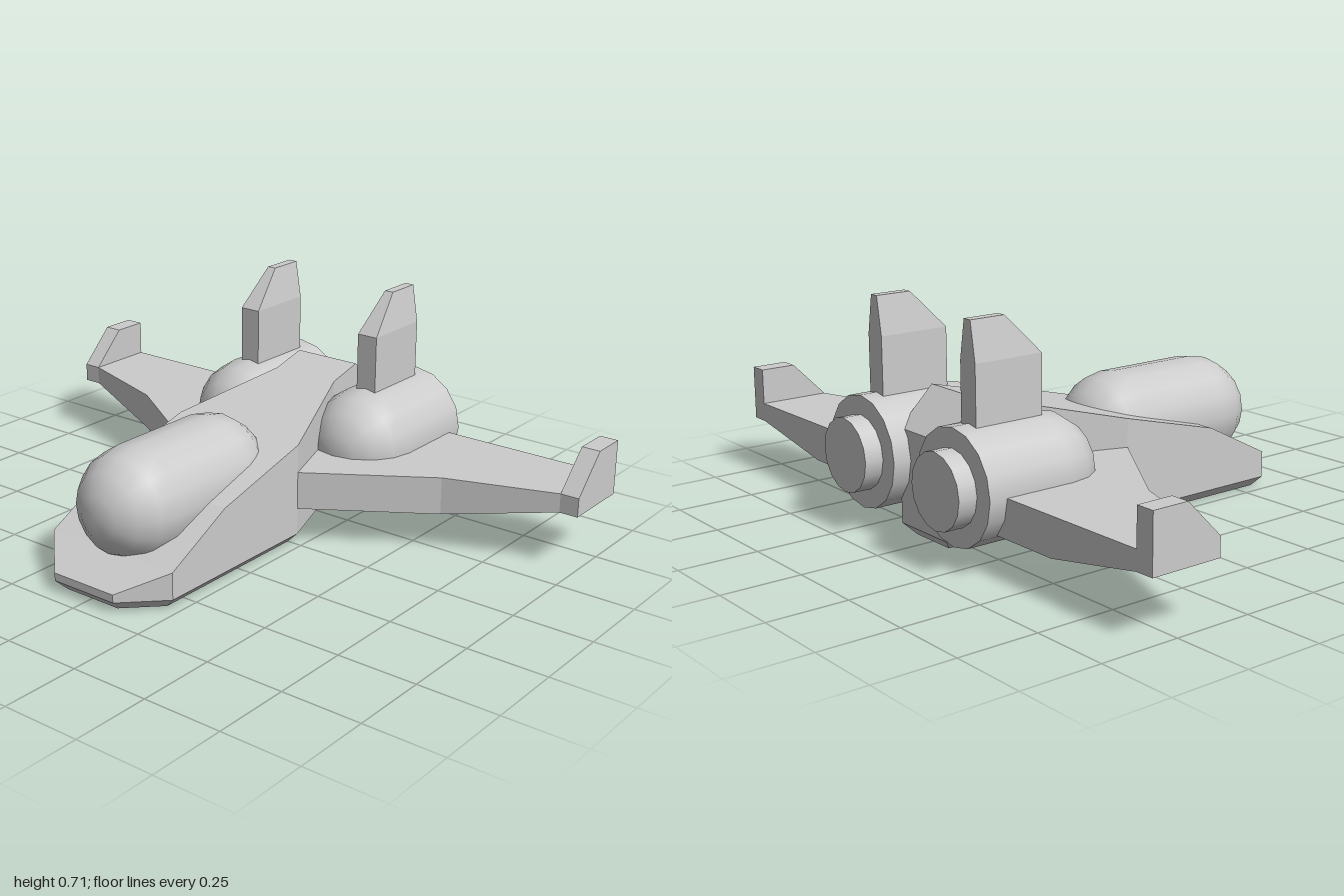
import * as THREE from 'three';

const material = new THREE.MeshStandardMaterial({ color: 0xcccccc });
const flatMaterial = new THREE.MeshStandardMaterial({ color: 0xcccccc, flatShading: true });

function addMesh(parent, name, geometry, mat = flatMaterial) {
  const mesh = new THREE.Mesh(geometry, mat);
  mesh.name = name;
  parent.add(mesh);
  return mesh;
}

// Flat-faced solid through rings of equal length; both ends are closed by strips.
function loft(rings) {
  const n = rings[0].length;
  const tris = [];
  const quad = (a, b, c, d) => tris.push([a, b, c], [a, c, d]);
  for (let r = 0; r < rings.length - 1; r++) {
    for (let i = 0; i < n; i++) {
      const j = (i + 1) % n;
      quad(rings[r][i], rings[r][j], rings[r + 1][j], rings[r + 1][i]);
    }
  }
  const first = rings[0], last = rings[rings.length - 1];
  for (let i = 0; i < n / 2 - 1; i++) {
    const k = n - 1 - i;
    quad(first[k], first[k - 1], first[i + 1], first[i]);
    quad(last[i], last[i + 1], last[k - 1], last[k]);
  }
  // Turn all faces outward if the rings ran the other way round
  const v = (p) => new THREE.Vector3(...p);
  const volume = tris.reduce((sum, [a, b, c]) => sum + v(a).dot(v(b).cross(v(c))), 0);
  if (volume < 0) tris.forEach((t) => t.reverse());
  const geometry = new THREE.BufferGeometry();
  geometry.setAttribute('position', new THREE.Float32BufferAttribute(tris.flat(2), 3));
  geometry.computeVertexNormals();
  return geometry;
}

// Hull: stacked plan outlines, with a chamfered keel and a sloping deck
function hullGeometry() {
  // z, half width, deck height, keel z, keel half width
  const stations = [
    [0.705, 0.115, 0.06, 0.67, 0.1],
    [0.585, 0.235, 0.12, 0.57, 0.2],
    [0.35, 0.235, 0.24, 0.35, 0.2],
    [0, 0.235, 0.33, 0, 0.2],
    [-0.35, 0.115, 0.415, -0.355, 0.08],
    [-0.47, 0.115, 0.445, -0.47, 0.08],
    [-0.587, 0.115, 0.33, -0.555, 0.08],
  ];
  const ring = (point) => {
    const side = stations.map(point);
    return [...side, ...side.map(([x, y, z]) => [-x, y, z]).reverse()];
  };
  return loft([
    ring(([, , , kz, kw]) => [kw, 0, kz]),
    ring(([z, w]) => [w, 0.035, z]),
    ring(([z, w, top]) => [w, top, z]),
  ]);
}

const BACK = -0.587;

// Wing: sections along the span, thinning from below toward the tip
function wingGeometry(s) {
  // x, leading edge z, underside y
  const sections = [
    [0.08, 0, 0.12],
    [0.235, 0, 0.12],
    [0.6, -0.24, 0.12],
    [0.94, -0.355, 0.18],
    [1, -0.355, 0.18],
  ];
  return loft(sections.map(([x, zf, yb]) => [
    [s * x, yb, zf], [s * x, 0.24, zf], [s * x, 0.24, BACK], [s * x, yb, BACK],
  ]));
}

// Upright fin: rectangles stacked upward, given as y, half thickness, front z
function finGeometry(x, sections) {
  return loft(sections.map(([y, w, zf]) => [
    [x - w, y, zf], [x + w, y, zf], [x + w, y, BACK], [x - w, y, BACK],
  ]));
}

// Engine: domed intake end, straight casing and a narrower nozzle
function makeEngine(s) {
  const engine = new THREE.Group();
  const radius = 0.175;
  const dome = new THREE.SphereGeometry(radius, 16, 4, 0, Math.PI * 2, 0, Math.PI / 2);
  addMesh(engine, 'engineDome', dome.rotateX(Math.PI / 2), material).position.z = -0.355;
  const casing = new THREE.CylinderGeometry(radius, radius, 0.29, 16);
  addMesh(engine, 'engineCasing', casing.rotateX(Math.PI / 2), material).position.z = -0.5;
  const nozzle = new THREE.CylinderGeometry(0.115, 0.115, 0.08, 16);
  addMesh(engine, 'engineNozzle', nozzle.rotateX(Math.PI / 2), material).position.z = -0.665;
  engine.position.set(s * 0.235, 0.24, 0);
  return engine;
}

export function createModel() {
  const model = new THREE.Group();
  model.name = 'spacecraft';

  addMesh(model, 'hull', hullGeometry());

  // Canopy: capsule lying along the hull, half sunk in the deck
  const canopy = new THREE.CapsuleGeometry(0.175, 0.33, 4, 16).rotateX(Math.PI / 2);
  addMesh(model, 'canopy', canopy, material).position.set(0, 0.24, 0.31);

  for (const [side, s] of [['left', 1], ['right', -1]]) {
    addMesh(model, side + 'Wing', wingGeometry(s));
    addMesh(model, side + 'Winglet', finGeometry(s * 0.97, [
      [0.2, 0.03, -0.355], [0.24, 0.03, -0.355], [0.355, 0.03, -0.47],
    ]));
    addMesh(model, side + 'TailFin', finGeometry(s * 0.235, [
      [0.3, 0.035, -0.355], [0.59, 0.035, -0.355], [0.71, 0.015, -0.47],
    ]));
    const engine = makeEngine(s);
    engine.name = side + 'Engine';
    model.add(engine);
  }
  return model;
}
